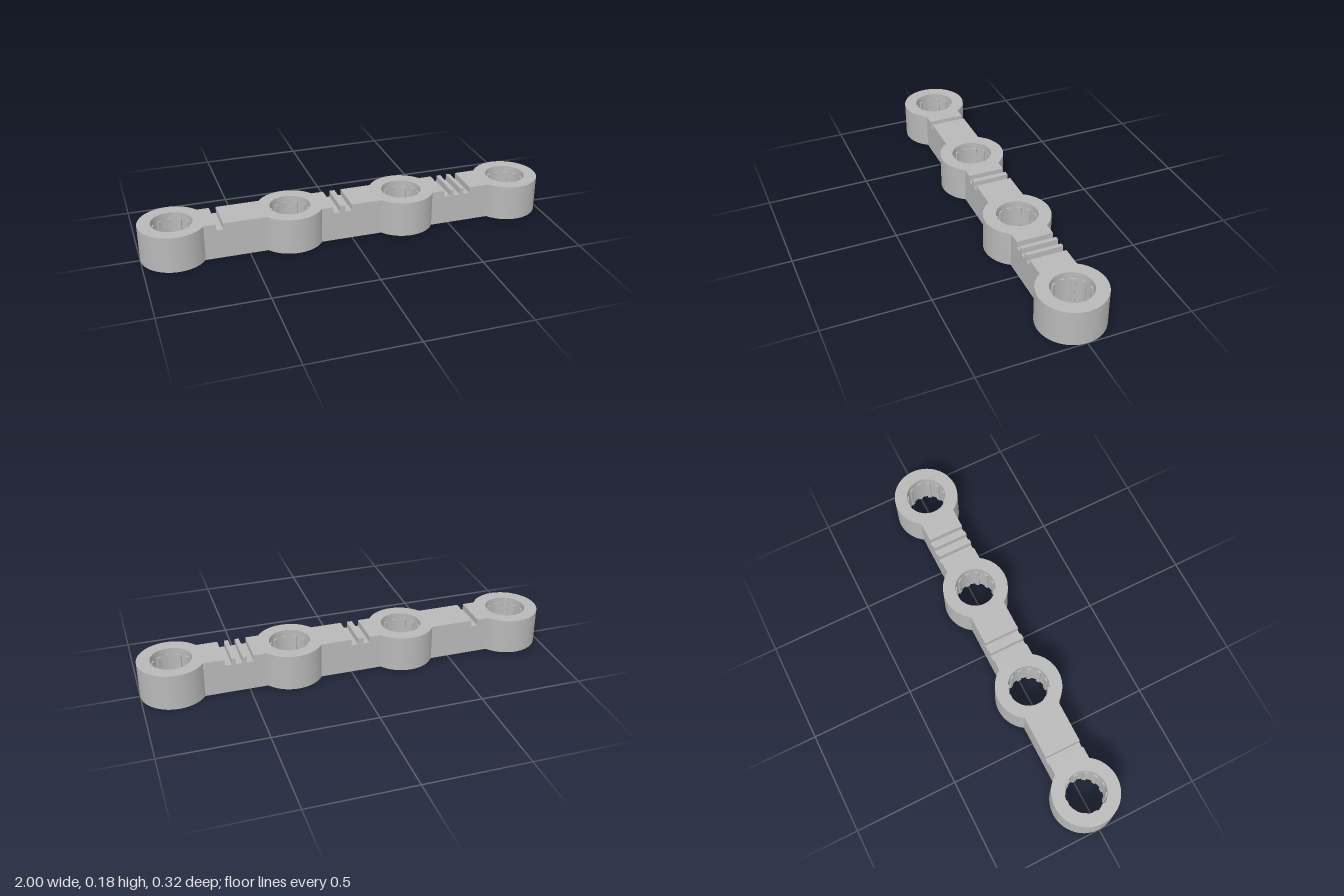
import * as THREE from 'three';
import { toCreasedNormals } from 'three/addons/utils/BufferGeometryUtils.js';

const R = 0.158;            // ring outer radius
const HOLE = 0.097;         // bore radius
const RIB = 0.09;           // radius at the inner face of the ribs
const W = 0.088;            // half width of the link bars
const FLOOR = 0.145;        // height of slot floors and rib tops
const TOP = 0.176;
const SLOT = 0.032;
const RIBS = 12;
const rings = [-0.842, -0.281, 0.281, 0.842];
const slots = [-0.636, -0.075, -0.017, 0.491, 0.543, 0.594];

// Plan outline of the chain between x0 and x1: one side, then its mirror
function outline(x0, x1) {
  const side = [];
  const a = Math.asin(W / R);
  if (x0 > -1) side.push(new THREE.Vector2(x0, -W));
  rings.forEach((c, i) => {
    if (c < x0 || c > x1) return;
    const start = i === 0 ? Math.PI : Math.PI + a;
    const end = i === rings.length - 1 ? 2 * Math.PI : 2 * Math.PI - a;
    for (let k = 0; k <= 28; k++) {
      const t = start + (end - start) * k / 28;
      side.push(new THREE.Vector2(c + R * Math.cos(t), R * Math.sin(t)));
    }
  });
  if (x1 < 1) side.push(new THREE.Vector2(x1, -W));
  const mirrored = side.filter(p => p.y < -1e-6).map(p => new THREE.Vector2(p.x, -p.y)).reverse();
  return new THREE.Shape([...side, ...mirrored]);
}

// Bore outline, plain or with inward ribs
function bore(c, ribbed) {
  const pts = [];
  const step = 2 * Math.PI / RIBS;
  const add = (r, t) => pts.push(new THREE.Vector2(c + r * Math.cos(t), r * Math.sin(t)));
  for (let i = 0; i < RIBS; i++) {
    const t = i * step;
    if (ribbed) for (const f of [-0.2, 0, 0.2]) add(RIB, t + f * step);
    for (const f of ribbed ? [0.2, 0.35, 0.5, 0.65, 0.8] : [0, 0.25, 0.5, 0.75]) add(HOLE, t + f * step);
  }
  return new THREE.Path(pts.reverse());
}

// Extrudes a stretch of the chain upward from y0 to y1
function layer(name, x0, x1, y0, y1, ribbed, material) {
  const shape = outline(x0, x1);
  for (const c of rings) if (c > x0 && c < x1) shape.holes.push(bore(c, ribbed));
  const geo = new THREE.ExtrudeGeometry(shape, { depth: y1 - y0, bevelEnabled: false });
  geo.rotateX(-Math.PI / 2);
  geo.translate(0, y0, 0);
  const mesh = new THREE.Mesh(toCreasedNormals(geo, Math.PI / 7), material);
  mesh.name = name;
  return mesh;
}

export function createModel() {
  const group = new THREE.Group();
  group.name = 'ringChainBar';
  const grey = new THREE.MeshStandardMaterial({ color: 0xb8b8b8 });
  grey.name = 'light grey';

  // Full-length body with ribbed bores
  group.add(layer('ribbedBody', -1, 1, 0, FLOOR, true, grey));

  // Upper layer, interrupted by the slots, with plain bores
  let x = -1;
  for (const s of [...slots, 1 + SLOT / 2]) {
    const end = s - SLOT / 2;
    group.add(layer('topSection', x, end, FLOOR, TOP, false, grey));
    x = s + SLOT / 2;
  }
  return group;
}
